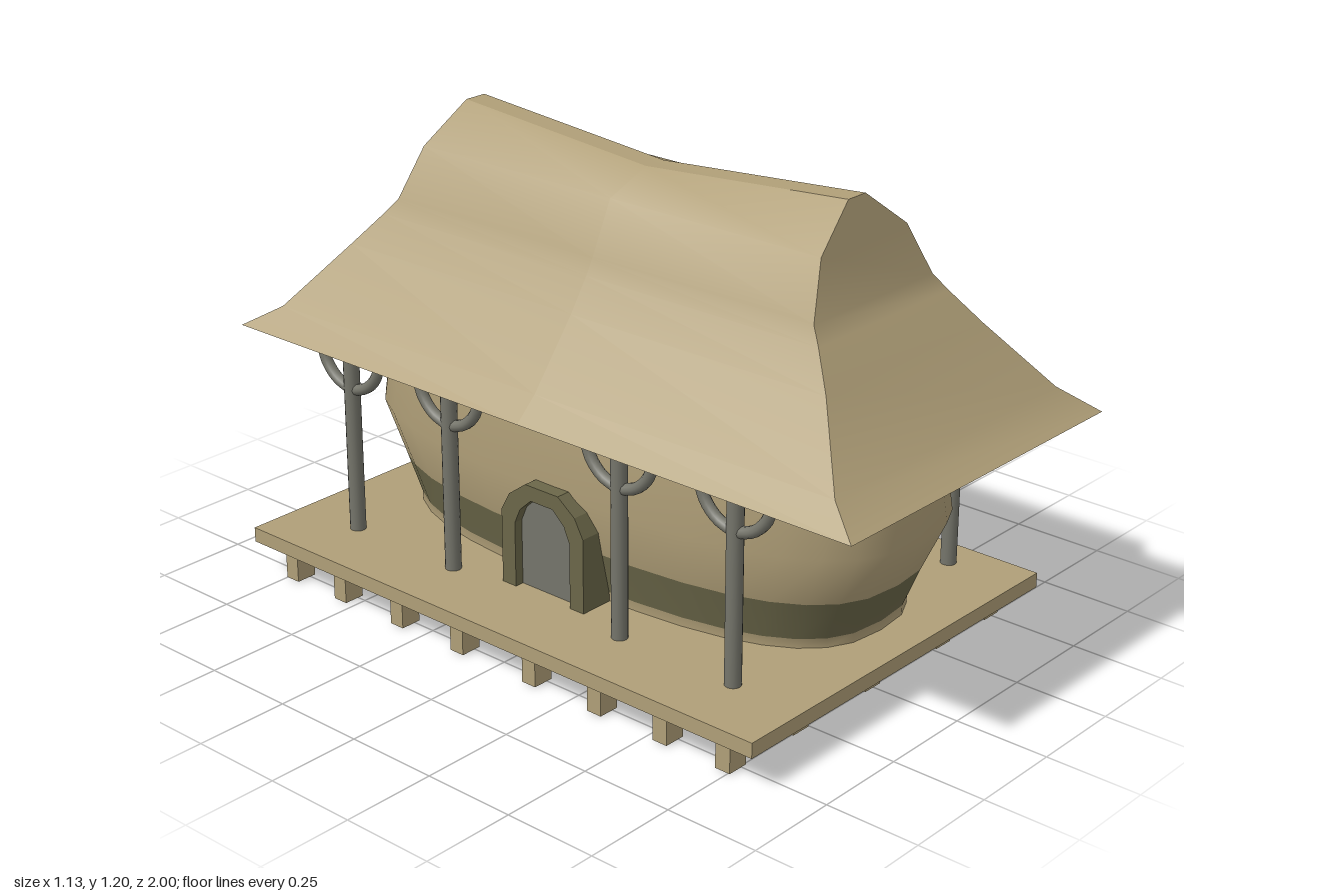
import * as THREE from 'three';
import { mergeVertices } from 'three/addons/utils/BufferGeometryUtils.js';

const paint = (name, color) => {
  const m = new THREE.MeshStandardMaterial({ color });
  m.name = name;
  return m;
};

// Smooth surface through rows of [x, y, z] points; one material group per row strip.
function surface(rows) {
  const n = rows[0].length, index = [];
  const geo = new THREE.BufferGeometry();
  for (let i = 0; i < rows.length - 1; i++) {
    geo.addGroup(index.length, (n - 1) * 6, 0);
    for (let j = 0; j < n - 1; j++) {
      const a = i * n + j, b = a + n;
      index.push(a, b, a + 1, b, b + 1, a + 1);
    }
  }
  geo.setAttribute('position', new THREE.Float32BufferAttribute(rows.flat(2), 3));
  geo.setIndex(index);
  const merged = mergeVertices(geo, 1e-5);
  merged.computeVertexNormals();
  return merged;
}

export function createModel() {
  const model = new THREE.Group();
  model.name = 'stiltHouse';
  const tan = paint('tan', 0xb09f78);
  const olive = paint('olive', 0x6b6749);
  const grey = paint('grey', 0x75756b);
  const add = (name, geo, mat, parent = model) => {
    const mesh = new THREE.Mesh(geo, mat);
    mesh.name = name;
    parent.add(mesh);
    return mesh;
  };

  // Platform on a grid of short stilts
  add('platform', new THREE.BoxGeometry(1.135, 0.04, 1.68), tan).position.set(-0.002, 0.105, 0);
  const stilts = new THREE.Group();
  stilts.name = 'stilts';
  model.add(stilts);
  const stiltGeo = new THREE.BoxGeometry(0.058, 0.085, 0.043);
  for (const x of [-0.513, -0.281, -0.003, 0.289, 0.497])
    for (const z of [-0.73, -0.547, -0.337, -0.123, 0.123, 0.337, 0.543, 0.733])
      add('stilt', stiltGeo, tan, stilts).position.set(x, 0.0425, z);

  // Rounded walls: [height, half width, half length], with a dark band low down
  const cx = 0.0575, sides = 32;
  const ring = ([y, a, b]) => Array.from({ length: sides + 1 }, (_, i) => {
    const t = (i % sides) / sides * Math.PI * 2;
    const bulge = (v) => Math.sign(v) * Math.pow(Math.abs(v), 2 / 2.7);
    return [cx + a * bulge(Math.cos(t)), y, b * bulge(Math.sin(t))];
  });
  const wallGeo = surface([
    [0.125, 0.325, 0.73], [0.15, 0.327, 0.73], [0.26, 0.352, 0.775],
    [0.4, 0.381, 0.84], [0.62, 0.364, 0.805],
  ].map(ring));
  wallGeo.groups[1].materialIndex = 1;
  add('walls', wallGeo, [tan, olive]);

  // Roof: [half width, height, end z, sag at mid-length], eaves to ridge
  const half = [
    [0.4975, 0.615, 1, 0], [0.435, 0.674, 0.905, 0], [0.305, 0.842, 0.774, 0],
    [0.25, 0.925, 0.707, 0], [0.2275, 0.965, 0.675, 0], [0.163, 1.1, 0.641, 0],
    [0.0325, 1.2, 0.615, 0.05],
  ];
  const left = half.map(([w, ...r]) => [cx - w, ...r]);
  const right = half.map(([w, ...r]) => [cx + w, ...r]);
  const along = (profile) => surface([-1, 0, 1].map((s) =>
    profile.map(([x, y, z, sag]) => [x, s ? y : y - sag, s * z])));
  const end = (s) => {
    const rows = [left, right].map((p) => p.map(([x, y, z]) => [x, y, s * z]));
    return surface(s > 0 ? rows : rows.reverse());
  };
  const roof = new THREE.Group();
  roof.name = 'roof';
  model.add(roof);
  add('rightSlope', along(left), tan, roof);
  add('leftSlope', along([...right].reverse()), tan, roof);
  add('ridge', along([left[6], right[6]]), tan, roof);
  add('frontHip', end(1), tan, roof);
  add('backHip', end(-1), tan, roof);
  add('soffit', surface([left[0], right[0]].map(([x, y]) => [[x, y, -1], [x, y, 1]])), tan, roof);
  // The left slope runs eaves-first, so restore its outward winding
  const leftSlope = roof.children[1];
  leftSlope.geometry = along(right.slice().reverse());

  // Posts with two curved arms under the eaves
  const postGeo = new THREE.CylinderGeometry(0.021, 0.021, 0.495, 16);
  const armGeo = (s) => new THREE.TubeGeometry(new THREE.CatmullRomCurve3([
    [0, 0.515], [0.055, 0.535], [0.09, 0.57], [0.108, 0.618],
  ].map(([z, y]) => new THREE.Vector3(0, y, s * z))), 10, 0.015, 10);
  const arms = [armGeo(-1), armGeo(1)];
  for (const x of [-0.39, 0.468])
    for (const z of [-0.636, -0.283, 0.283, 0.636]) {
      const post = new THREE.Group();
      post.name = 'post';
      post.position.set(x, 0, z);
      add('shaft', postGeo, grey, post).position.y = 0.3705;
      arms.forEach((g) => add('arm', g, grey, post));
      model.add(post);
    }

  // Arched doorway on the right side
  const arch = (Kind, w, spring, top) => {
    const p = new Kind();
    p.moveTo(-w, 0);
    p.lineTo(w, 0);
    p.lineTo(w, spring);
    p.lineTo(w * 0.8, spring + (top - spring) * 0.55);
    p.lineTo(w * 0.4, top);
    p.lineTo(-w * 0.4, top);
    p.lineTo(-w * 0.8, spring + (top - spring) * 0.55);
    p.lineTo(-w, spring);
    p.closePath();
    return p;
  };
  const doorway = new THREE.Group();
  doorway.name = 'doorway';
  doorway.position.set(-0.36, 0.125, 0);
  doorway.rotation.y = -Math.PI / 2;
  model.add(doorway);
  const frame = arch(THREE.Shape, 0.137, 0.2, 0.29);
  frame.holes.push(arch(THREE.Path, 0.092, 0.175, 0.25));
  add('doorFrame', new THREE.ExtrudeGeometry(frame, { depth: 0.12, bevelEnabled: false }), olive, doorway)
    .position.z = -0.12;
  add('door', new THREE.ExtrudeGeometry(arch(THREE.Shape, 0.093, 0.176, 0.251),
    { depth: 0.008, bevelEnabled: false }), grey, doorway).position.z = -0.033;

  return model;
}
